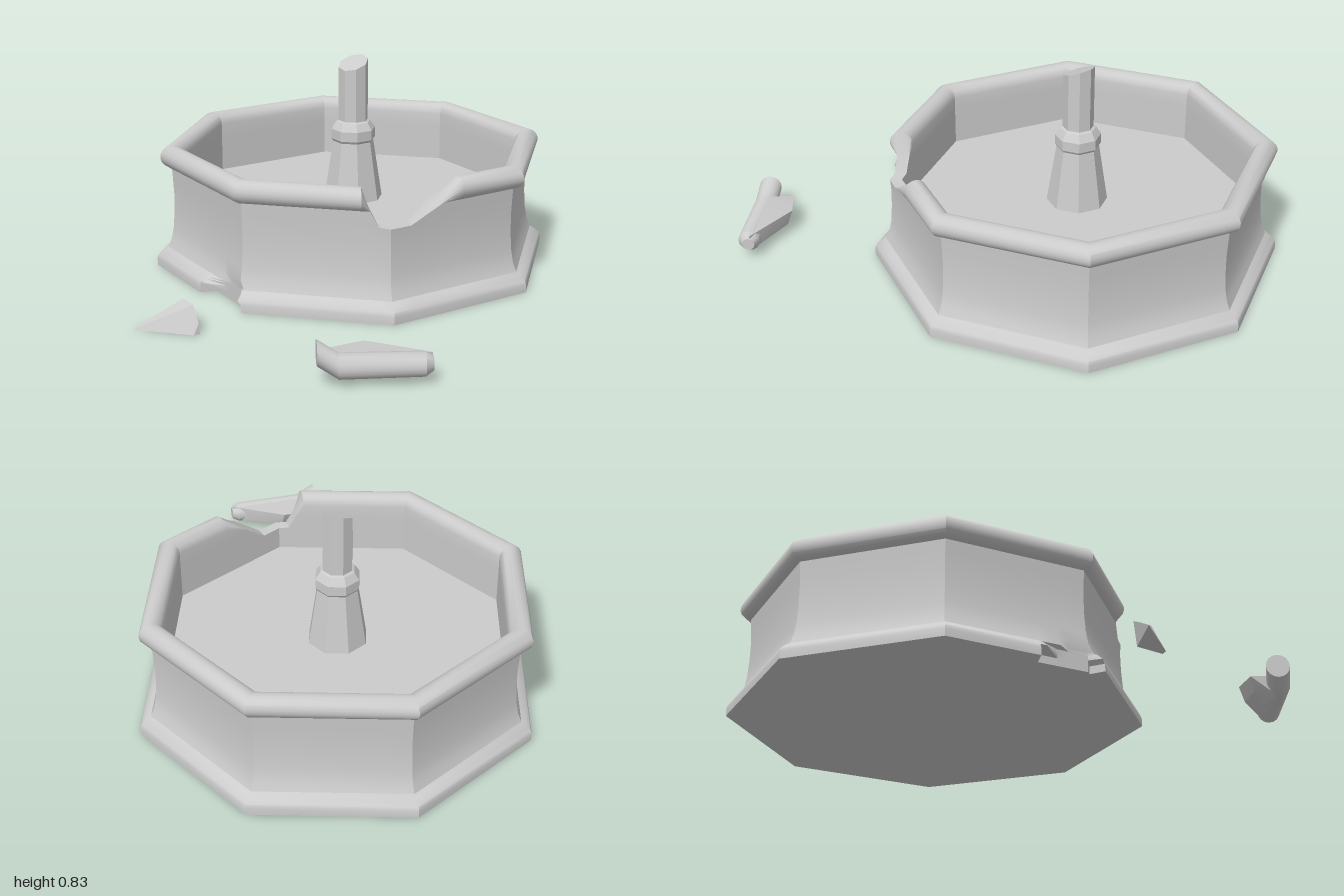
import * as THREE from 'three';
import { toCreasedNormals } from 'three/addons/utils/BufferGeometryUtils.js';
import { ConvexGeometry } from 'three/addons/geometries/ConvexGeometry.js';

const material = new THREE.MeshStandardMaterial({ color: 0xcccccc });
const V = (x, y, z) => new THREE.Vector3(x, y, z);

function part(name, geometry, crease = 0.6) {
  const mesh = new THREE.Mesh(toCreasedNormals(geometry, crease), material);
  mesh.name = name;
  return mesh;
}

// Skin a list of equal-length point rings, leaving out collapsed triangles
function loft(rings) {
  const out = [];
  const area = new THREE.Triangle();
  const tri = (a, b, c) => {
    if (area.set(a, b, c).getArea() > 1e-8) for (const p of [a, b, c]) out.push(p.x, p.y, p.z);
  };
  for (let i = 0; i + 1 < rings.length; i++) {
    const A = rings[i], B = rings[i + 1];
    for (let j = 0; j + 1 < A.length; j++) {
      tri(A[j], B[j], A[j + 1]);
      tri(B[j], B[j + 1], A[j + 1]);
    }
  }
  const g = new THREE.BufferGeometry();
  g.setAttribute('position', new THREE.Float32BufferAttribute(out, 3));
  return g;
}

// Piecewise linear lookup in [position, value] pairs
function lookup(table, s, outside) {
  for (let i = 0; i + 1 < table.length; i++) {
    const [a, va] = table[i], [b, vb] = table[i + 1];
    if (s >= a && s <= b) return va + ((vb - va) * (s - a)) / (b - a);
  }
  return outside;
}

// Broken places, measured in octagon sides from the front corner towards +x
const rimBreak = [[0.8, 0.5], [0.86, 0.41], [0.92, 0.35], [1, 0.345], [1.16, 0.345], [1.35, 0.42], [1.53, 0.5]];
const baseBreak = [[-0.4, 0], [-0.36, 0.031], [-0.22, 0.066], [-0.14, 0.1], [0, 0.105], [0.035, 0.04], [0.06, 0]];

function basin() {
  // Half section: underside, stepped foot, hollow wall, rounded rim, inside wall, floor
  const profile = [[0, 0], [0.75, 0], [0.81, 0], [0.81, 0.03], [0.805, 0.045], [0.79, 0.058], [0.782, 0.065],
    [0.765, 0.075], [0.75, 0.11], [0.74, 0.16], [0.735, 0.23], [0.734, 0.3], [0.737, 0.36], [0.74, 0.41]];
  for (let k = 0; k <= 12; k++) {
    const a = -1.25 + (k * (Math.PI + 1.25)) / 12;
    profile.push([0.7375 + 0.0475 * Math.cos(a), 0.455 + 0.045 * Math.sin(a)]);
  }
  profile.push([0.69, 0.4], [0.69, 0.34], [0.69, 0.25], [0, 0.25]);

  const stations = new Set([-1, 2, 3, 4, 5, 6, 7]);
  for (const [s] of [...rimBreak, ...baseBreak]) stations.add(s);
  const corner = (k) => V(Math.sin((k * Math.PI) / 4), 0, Math.cos((k * Math.PI) / 4));
  const rings = [...stations].sort((a, b) => a - b).map((s) => {
    const k = Math.floor(s);
    const dir = corner(k).lerp(corner(k + 1), s - k);
    const top = lookup(rimBreak, s, 1), chip = lookup(baseBreak, s, 0);
    return profile.map(([r, y]) => {
      if (y > top) {
        y = top;
        if (top < 0.42) r = Math.min(r, 0.738);
      }
      if (y < chip) r = Math.min(r, 0.745);
      return V(dir.x * r, y, dir.z * r);
    });
  });
  return loft(rings);
}

function column() {
  // Tapered pedestal, collar and a shaft snapped off at a slant
  const pts = [[0.12, 0.25], [0.083, 0.49], [0.09, 0.5], [0.09, 0.54], [0.07, 0.57], [0.06, 0.575], [0.06, 0.8], [0, 0.8]];
  const g = new THREE.LatheGeometry(pts.map(([r, y]) => new THREE.Vector2(r, y)), 8);
  const p = g.attributes.position;
  for (let i = 0; i < p.count; i++) {
    if (p.getY(i) > 0.75) p.setY(i, 0.81 - 0.4 * p.getZ(i));
  }
  return g.toNonIndexed();
}

function rimPiece() {
  // Bent round bar: centre x, y, z and radius
  const path = [[0.875, 0.068, 0.725, 0], [0.875, 0.068, 0.725, 0.025], [0.855, 0.068, 0.745, 0.043],
    [0.63, 0.068, 0.925, 0.045], [0.568, 0.115, 0.965, 0.045], [0.568, 0.115, 0.965, 0]];
  return loft(path.map(([x, y, z, r]) => Array.from({ length: 17 }, (_, j) => {
    const a = (j * Math.PI) / 8;
    return V(x + 0.64 * r * Math.sin(a), y + r * Math.cos(a), z + 0.77 * r * Math.sin(a));
  })));
}

export function createModel() {
  const model = new THREE.Group();
  model.name = 'brokenFountain';

  const fountain = new THREE.Group();
  fountain.name = 'fountain';
  fountain.position.set(-0.07, 0, -0.19);
  fountain.add(part('basin', basin()), part('column', column(), 0.3));
  model.add(fountain);

  // Fallen piece of rim with a slab of wall still attached
  const rimRubble = new THREE.Group();
  rimRubble.name = 'fallenRimPiece';
  const slab = [V(0.87, 0.105, 0.72), V(0.62, 0.1, 0.76), V(0.525, 0.085, 0.87), V(0.64, 0.11, 0.92),
    V(0.86, 0.04, 0.72), V(0.64, 0.04, 0.77), V(0.56, 0.04, 0.86), V(0.63, 0.025, 0.92),
    V(0.62, 0, 0.86), V(0.66, 0, 0.83)];
  rimRubble.add(part('rimBar', rimPiece()), part('wallSlab', new ConvexGeometry(slab), 0.3));
  model.add(rimRubble);

  // Fallen chip of the foot
  const chip = [V(-0.26, 0, 0.955), V(-0.04, 0, 0.872), V(-0.03, 0, 0.85), V(-0.035, 0.04, 0.85),
    V(-0.07, 0.1, 0.835), V(-0.14, 0.1, 0.81), V(-0.14, 0, 0.82), V(-0.19, 0.06, 0.87)];
  model.add(part('fallenFootChip', new ConvexGeometry(chip), 0.3));
  return model;
}
